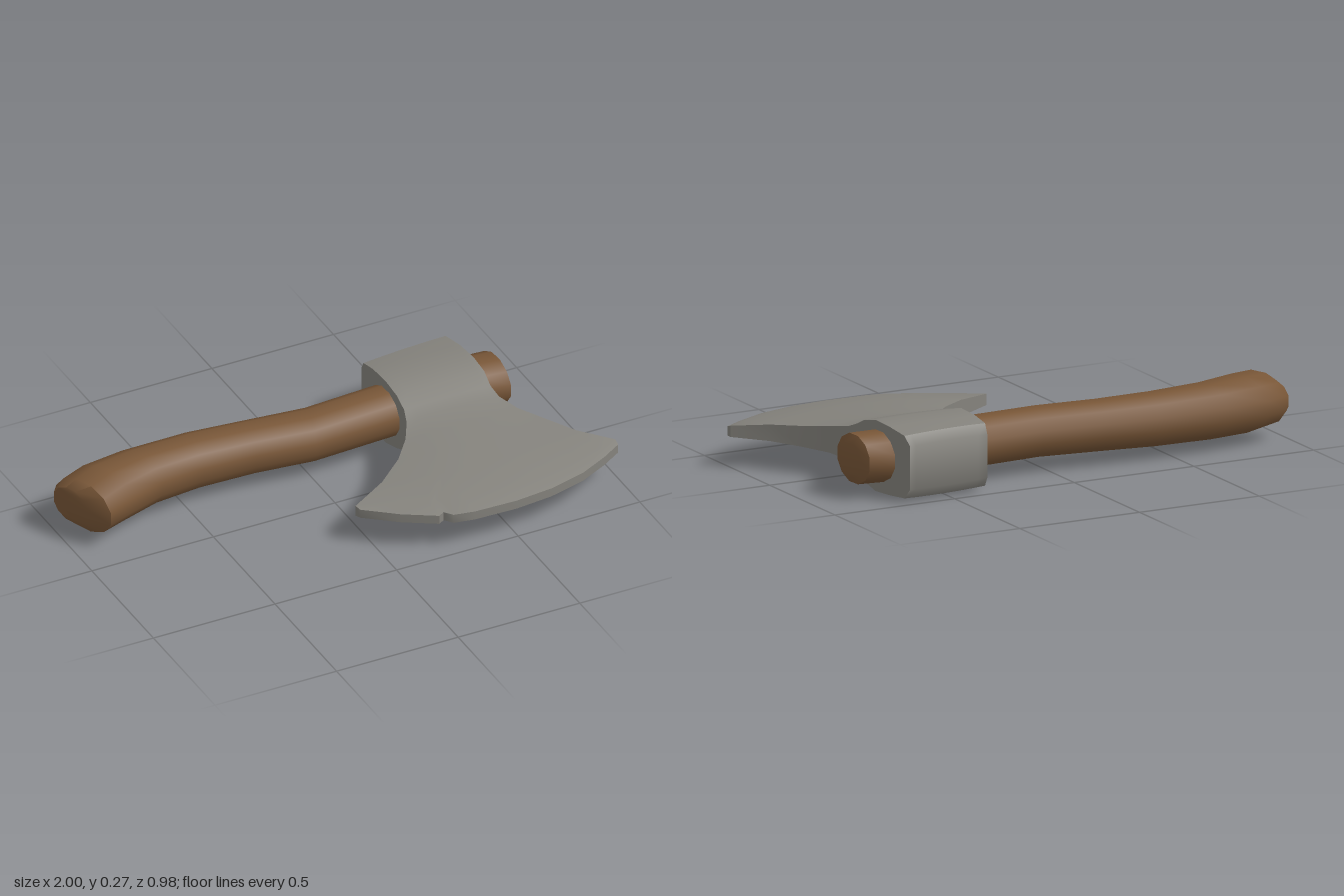
import * as THREE from 'three';
import { toCreasedNormals } from 'three/addons/utils/BufferGeometryUtils.js';

// Skin a list of equal-length rings (clockwise seen from the far end) and cap both ends.
function loft(rings, crease) {
  const n = rings[0].length, last = (rings.length - 1) * n, index = [];
  for (let i = 0; i < rings.length - 1; i++) {
    for (let j = 0; j < n; j++) {
      const a = i * n + j, b = i * n + (j + 1) % n;
      index.push(a, a + n, b, b, a + n, b + n);
    }
  }
  for (let j = 0; j < n / 2 - 1; j++) {
    const a = j, b = j + 1, c = n - 2 - j, d = n - 1 - j;
    index.push(a, b, c, a, c, d);
    index.push(last + a, last + c, last + b, last + a, last + d, last + c);
  }
  const geo = new THREE.BufferGeometry();
  geo.setAttribute('position', new THREE.Float32BufferAttribute(rings.flat(2), 3));
  geo.setIndex(index);
  return toCreasedNormals(geo, crease);
}

// Curved haft: each row is back edge (x, z), front edge (x, z), half height
function handleGeometry() {
  const rows = [
    [-1.0, -0.31, -0.94, -0.15, 0.07],
    [-0.975, -0.34, -0.88, -0.08, 0.1],
    [-0.88, -0.375, -0.77, -0.125, 0.107],
    [-0.7, -0.4, -0.62, -0.175, 0.103],
    [-0.42, -0.405, -0.45, -0.19, 0.098],
    [-0.2, -0.385, -0.23, -0.18, 0.093],
    [0.05, -0.36, 0.0, -0.15, 0.091],
    [0.35, -0.378, 0.35, -0.168, 0.092],
    [0.7, -0.405, 0.7, -0.19, 0.094],
    [0.8, -0.4, 0.815, -0.18, 0.092],
    [0.82, -0.36, 0.825, -0.215, 0.065],
  ];
  const sides = 12;
  return loft(rows.map(([ax, az, bx, bz, h]) => {
    const ring = [];
    for (let j = 0; j < sides; j++) {
      const t = ((j + 0.5) / sides) * Math.PI * 2, s = Math.sin(t) * 0.5 * 1.03;
      ring.push([(ax + bx) / 2 + (ax - bx) * s, 0.143 + h * 1.03 * Math.cos(t), (az + bz) / 2 + (az - bz) * s]);
    }
    return ring;
  }), 0.9);
}

// Axe head: poll, eye, neck and flared blade as one skin from back to cutting edge
function headGeometry() {
  // Cutting edge outline, with a small nick
  const edge = [[-0.04, 0.285], [0.08, 0.38], [0.2, 0.452], [0.225, 0.437], [0.25, 0.47], [0.33, 0.485],
    [0.5, 0.49], [0.65, 0.475], [0.8, 0.435], [0.92, 0.375], [1.0, 0.325]];
  const us = edge.map(([x]) => (x + 0.04) / 1.04);
  // left x, left z, right x, right z, forward bulge, bottom y, top y, side thickness ratio
  const rows = [
    [0.345, -0.467, 0.68, -0.49, 0, 0.05, 0.22, 0.95],
    [0.34, -0.44, 0.69, -0.465, 0, 0.013, 0.257, 0.97],
    [0.343, -0.37, 0.7, -0.37, 0, 0.006, 0.27, 0.98],
    [0.345, -0.27, 0.705, -0.27, 0, 0.0, 0.275, 0.98],
    [0.35, -0.19, 0.71, -0.19, 0, 0.02, 0.258, 0.97],
    [0.35, -0.13, 0.705, -0.13, 0, 0.045, 0.232, 0.95],
    [0.335, -0.08, 0.715, -0.08, 0, 0.072, 0.214, 0.9],
    [0.29, 0.0, 0.75, 0.0, 0.02, 0.08, 0.206, 0.8],
    [0.215, 0.09, 0.815, 0.09, 0.04, 0.087, 0.197, 0.72],
    [0.1, 0.185, 0.89, 0.2, 0.07, 0.094, 0.186, 0.68],
    [-0.05, 0.265, 1.0, 0.3, 0.13, 0.102, 0.171, 0.62],
  ];
  const rings = rows.map(([lx, lz, rx, rz, bulge, y0, y1, side]) => {
    const top = [], bottom = [], mid = (y0 + y1) / 2;
    for (const u of us) {
      const s = 1 - (2 * u - 1) ** 2, h = ((y1 - y0) / 2) * (side + (1 - side) * s);
      const x = lx + (rx - lx) * u, z = lz + (rz - lz) * u + bulge * s;
      top.push([x, mid + h, z]);
      bottom.unshift([x, mid - h, z]);
    }
    return [...top, ...bottom];
  });
  rings.push([...edge.map(([x, z]) => [x, 0.15, z]), ...edge.map(([x, z]) => [x, 0.115, z]).reverse()]);
  return loft(rings, 0.75);
}

export function createModel() {
  const wood = new THREE.MeshStandardMaterial({ color: 0x785637 });
  wood.name = 'brown wood';
  const steel = new THREE.MeshStandardMaterial({ color: 0x84827c });
  steel.name = 'grey steel';

  const group = new THREE.Group();
  group.name = 'handAxe';
  const handle = new THREE.Mesh(handleGeometry(), wood);
  handle.name = 'handle';
  const head = new THREE.Mesh(headGeometry(), steel);
  head.name = 'axeHead';
  group.add(handle, head);
  return group;
}
